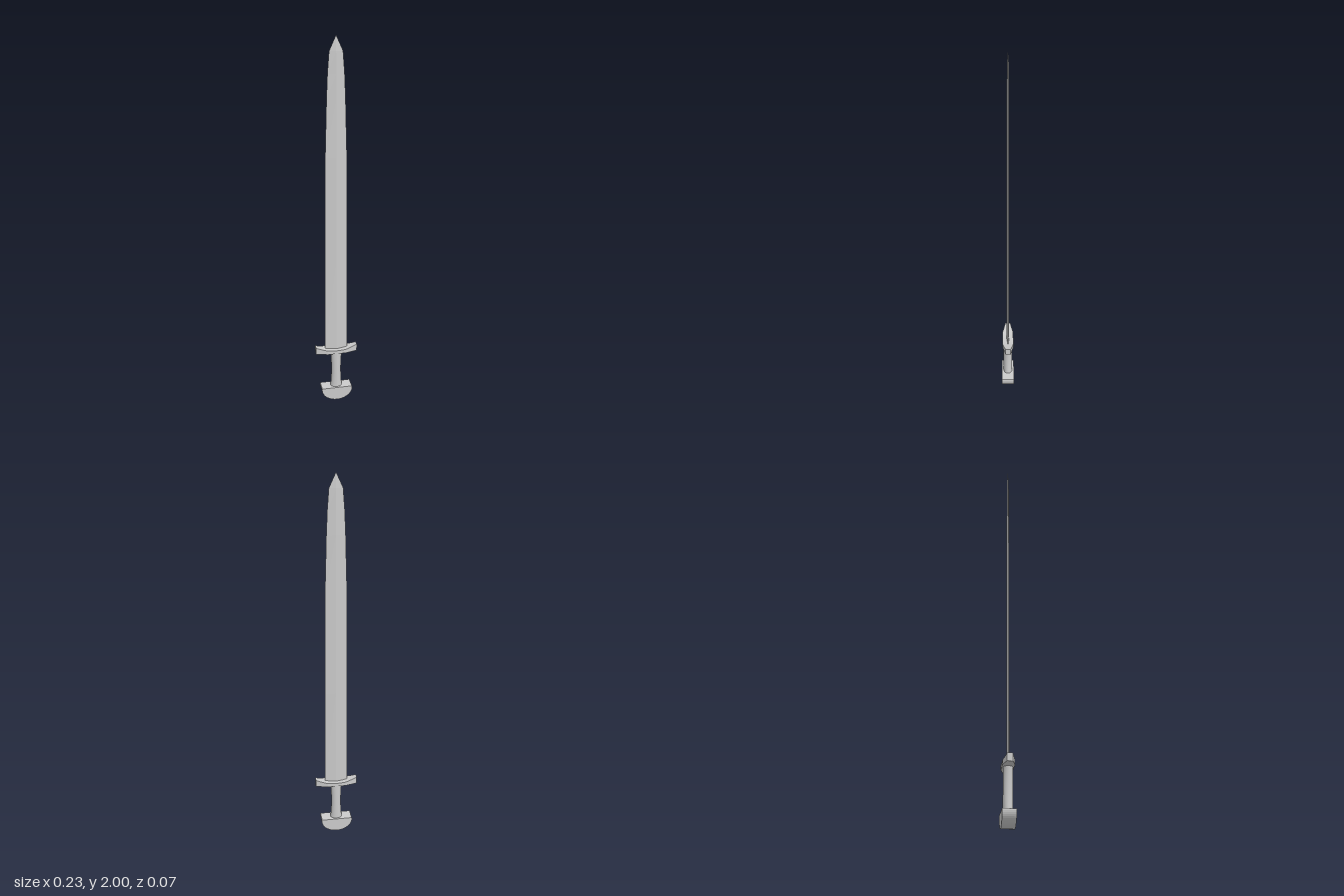
import * as THREE from 'three';

const smooth = new THREE.MeshStandardMaterial({ color: 0xcccccc });
const flat = new THREE.MeshStandardMaterial({ color: 0xcccccc, flatShading: true });

function part(name, geometry, material) {
  const mesh = new THREE.Mesh(geometry, material);
  mesh.name = name;
  return mesh;
}

// Moves every vertex of a geometry by a rule.
function reshape(geometry, rule) {
  const pos = geometry.attributes.position;
  const v = new THREE.Vector3();
  for (let i = 0; i < pos.count; i++) {
    rule(v.fromBufferAttribute(pos, i));
    pos.setXYZ(i, v.x, v.y, v.z);
  }
  geometry.computeVertexNormals();
  return geometry;
}

// Diamond-section blade, rows of [height, half width, half thickness].
function makeBlade() {
  const rows = [
    [0.30, 0.062, 0.007], [0.85, 0.059, 0.007], [1.40, 0.055, 0.0065], [1.70, 0.047, 0.006],
    [1.82, 0.042, 0.0055], [1.925, 0.034, 0.005], [2.0, 0, 0],
  ];
  const last = rows.length - 1;
  const geometry = new THREE.CylinderGeometry(1, 1, last, 4, last, true);
  return reshape(geometry, (v) => {
    const [y, width, depth] = rows[Math.round(v.y + last / 2)];
    v.set(v.x * width, y, v.z * depth);
  });
}

// Guard: flat below, dished on top, narrowing in depth towards both ends.
function makeGuard() {
  const half = 0.113;
  const geometry = new THREE.BoxGeometry(2 * half, 1, 2, 18, 1, 1);
  return reshape(geometry, (v) => {
    // the middle stretch has constant depth, so snap a column to its end
    const step = Math.abs(v.x) / half * 9;
    const x = Math.sign(v.x) * (step < 4.5 ? step * 0.0125 : 0.05 + (step - 4) * 0.0126);
    const t = Math.abs(x) / half;
    const depth = 0.03 - 0.016 * Math.max(0, (Math.abs(x) - 0.05) / (half - 0.05));
    v.set(x, v.y > 0 ? 0.31 + 0.02 * t * t : 0.291, v.z * depth);
  });
}

// Oval grip, slightly waisted across its width.
function makeGrip() {
  const geometry = new THREE.CylinderGeometry(1, 1, 1, 24, 10);
  return reshape(geometry, (v) => {
    const t = 2 * v.y;
    v.set(v.x * (0.026 + 0.006 * t * t), 0.184 + v.y * 0.224, v.z * 0.024);
  });
}

// Half-round pommel slab with softened upper corners.
function makePommel() {
  const shape = new THREE.Shape();
  shape.moveTo(-0.08, 0.077);
  shape.quadraticCurveTo(-0.085, 0.077, -0.085, 0.068);
  shape.bezierCurveTo(-0.084, 0.03, -0.045, 0, 0, 0);
  shape.bezierCurveTo(0.045, 0, 0.084, 0.03, 0.085, 0.068);
  shape.quadraticCurveTo(0.085, 0.077, 0.08, 0.077);
  shape.closePath();
  const geometry = new THREE.ExtrudeGeometry(shape, { depth: 0.068, bevelEnabled: false, curveSegments: 12 });
  geometry.translate(0, 0, -0.034);
  return geometry;
}

export function createModel() {
  const group = new THREE.Group();
  group.name = 'sword';
  group.add(
    part('blade', makeBlade(), flat),
    part('guard', makeGuard(), flat),
    part('grip', makeGrip(), smooth),
    part('pommel', makePommel(), flat),
  );
  return group;
}
